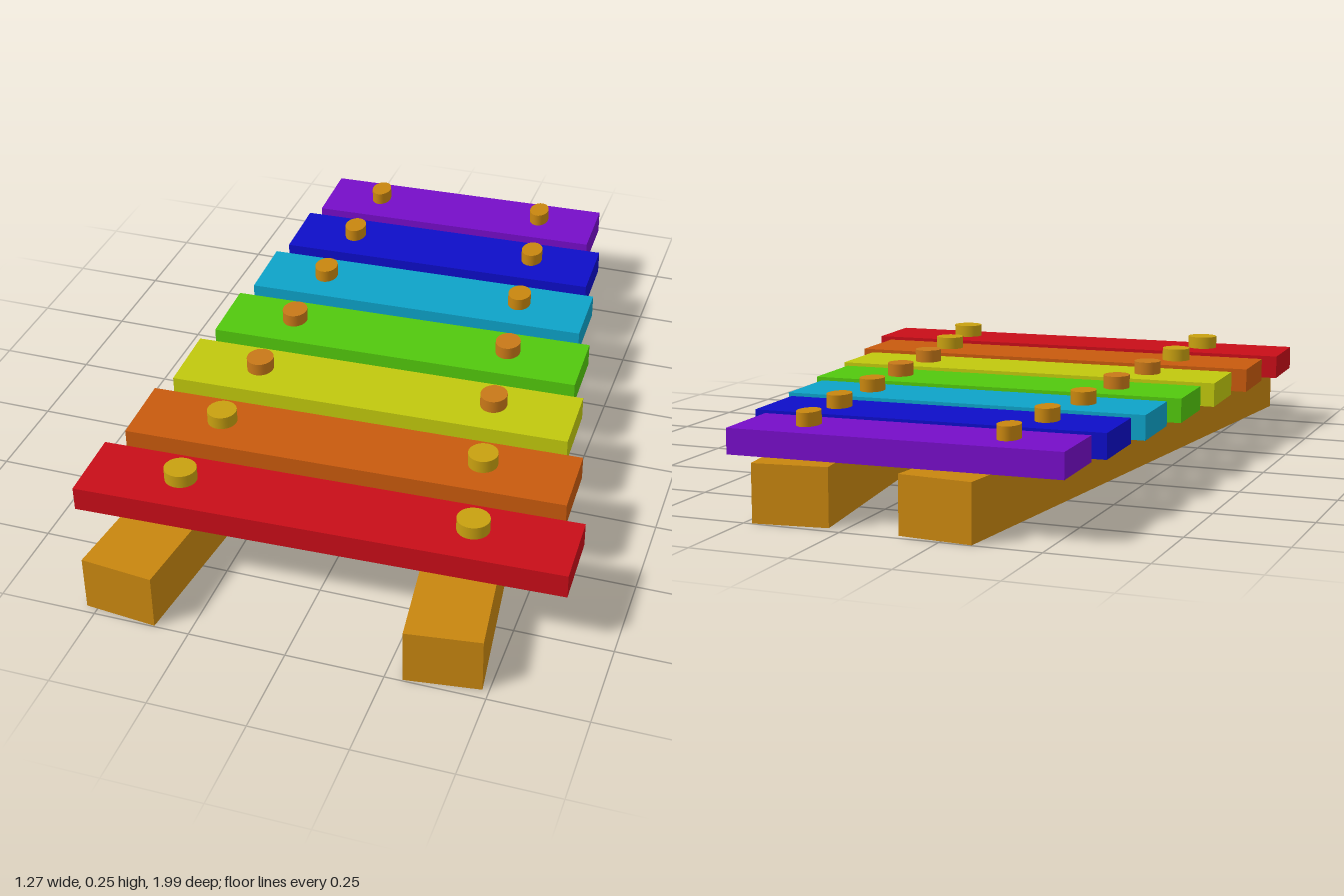
import * as THREE from 'three';

const paint = (color) => new THREE.MeshStandardMaterial({ color });

export function createModel() {
  const group = new THREE.Group();
  const add = (parent, name, geometry, material, x, y, z) => {
    const mesh = new THREE.Mesh(geometry, material);
    mesh.name = name;
    mesh.position.set(x, y, z);
    parent.add(mesh);
    return mesh;
  };

  // Two rails converging towards the back
  const wood = paint(0xc8860f);
  const railGeometry = new THREE.BoxGeometry(0.19, 0.145, 1.985);
  add(group, 'rightRail', railGeometry, wood, -0.335, 0.0725, 0).rotation.y = -0.101;
  add(group, 'leftRail', railGeometry, wood, 0.262, 0.0725, 0).rotation.y = 0.129;

  // Bars from longest to shortest: name, colour, x from, x to, centre z, peg colour
  const bars = [
    ['red', 0xc80d18, -0.635, 0.631, 0.685, 0xc8a010],
    ['orange', 0xc85a0d, -0.613, 0.563, 0.421, 0xc8a010],
    ['yellow', 0xc0c80d, -0.592, 0.502, 0.159, 0xc87818],
    ['green', 0x52c80d, -0.576, 0.459, -0.1, 0xc87818],
    ['cyan', 0x0da2c8, -0.56, 0.411, -0.355, 0xc8860f],
    ['blue', 0x0d0dc8, -0.545, 0.372, -0.606, 0xc8860f],
    ['purple', 0x760dc8, -0.527, 0.318, -0.848, 0xc8860f],
  ];
  const pegGeometry = new THREE.CylinderGeometry(0.0405, 0.0405, 0.034, 32);

  for (const [name, color, x0, x1, z, pegColor] of bars) {
    const length = x1 - x0;
    const bar = new THREE.Group();
    bar.name = name + 'Bar';
    bar.position.set((x0 + x1) / 2, 0, z);
    bar.rotation.y = 0.033;
    group.add(bar);

    add(bar, name + 'Plate', new THREE.BoxGeometry(length - 0.006, 0.064, 0.205), paint(color), 0, 0.185, 0);

    // Pegs narrow in step with the bar length
    const pegMaterial = paint(pegColor);
    for (const [side, offset] of [['Right', -0.303], ['Left', 0.294]]) {
      const peg = add(bar, name + side + 'Peg', pegGeometry, pegMaterial, offset * length, 0.237, -0.007);
      peg.scale.x = length / 1.23;
    }
  }
  return group;
}
